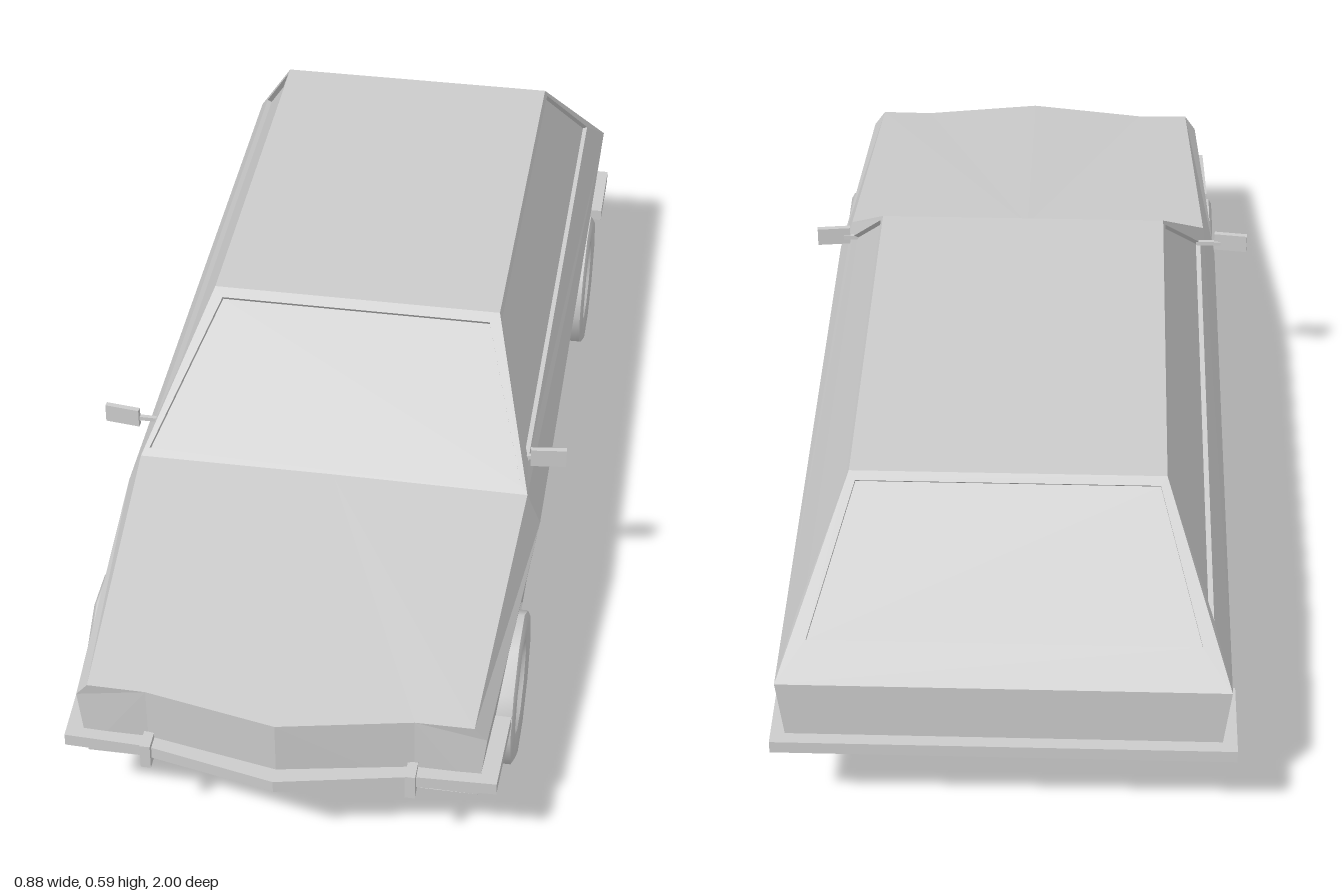
import * as THREE from 'three';
import { toCreasedNormals } from 'three/addons/utils/BufferGeometryUtils.js';

const V = (x, y, z) => new THREE.Vector3(x, y, z);
const flip = (poly) => poly.map((p) => V(-p.x, p.y, p.z));
const both = (polys) => [...polys, ...polys.map(flip)];
const lerp = THREE.MathUtils.lerp;

export function createModel() {
  const model = new THREE.Group();
  model.name = 'car';
  const body = new THREE.Group();
  body.name = 'body';
  body.position.x = 0.012;
  model.add(body);

  const solid = new THREE.MeshStandardMaterial({ color: 0xcccccc });
  const sheet = new THREE.MeshStandardMaterial({ color: 0xcccccc, side: THREE.DoubleSide });

  function add(name, geometry, material = solid, parent = body) {
    const mesh = new THREE.Mesh(geometry, material);
    mesh.name = name;
    parent.add(mesh);
    return mesh;
  }

  // Flat panels from convex polygons, each turned to face away from the car's middle
  function panels(name, polys) {
    const pos = [];
    for (const poly of polys) {
      for (let i = 1; i < poly.length - 1; i++) {
        let [a, b, c] = [poly[0], poly[i], poly[i + 1]];
        const n = b.clone().sub(a).cross(c.clone().sub(a));
        const out = a.clone().add(b).add(c).divideScalar(3).sub(V(0, 0.3, 0));
        if (n.dot(out) < 0) [b, c] = [c, b];
        for (const p of [a, b, c]) pos.push(p.x, p.y, p.z);
      }
    }
    const g = new THREE.BufferGeometry();
    g.setAttribute('position', new THREE.Float32BufferAttribute(pos, 3));
    g.computeVertexNormals();
    return add(name, g, sheet);
  }

  // Frame around an opening, with the pane set back by the inset vector
  function framedWindow(name, outer, inner, inset, mirrored = false) {
    const pane = inner.map((p) => p.clone().add(inset));
    const frame = [];
    outer.forEach((p, i) => {
      const j = (i + 1) % 4;
      frame.push([p, outer[j], inner[j], inner[i]], [inner[i], inner[j], pane[j], pane[i]]);
    });
    panels(name + 'Frame', mirrored ? both(frame) : frame);
    panels(name + 'Glass', mirrored ? both([pane]) : [pane]);
  }

  // Key corners on the +x side
  const roofF = V(0.273, 0.585, 0.086), roofR = V(0.273, 0.585, -0.718);
  const hoodR = V(0.364, 0.385, 0.37), hoodF = V(0.338, 0.322, 0.925);
  const waistF = V(0.36, 0.293, 0.92), waistM = V(0.39, 0.322, 0.37), waistR = V(0.388, 0.327, -0.98);
  const mir = (p) => V(-p.x, p.y, p.z);

  // Half width of the lower side, tucking in toward the sill
  function halfWidth(z, y) {
    const waist = z > 0.37 ? lerp(0.39, 0.36, (z - 0.37) / 0.55) : lerp(0.39, 0.388, (0.37 - z) / 1.35);
    const waistY = z > 0.37 ? lerp(0.322, 0.293, (z - 0.37) / 0.55) : lerp(0.322, 0.327, (0.37 - z) / 1.35);
    return waist - 0.02 * (waistY - y) / 0.19;
  }
  const side = ([z, y]) => V(halfWidth(z, y), y, z);

  // Roof and hood
  panels('roof', [[roofF, roofR, mir(roofR), mir(roofF)]]);
  const noseTop = V(0, 0.318, 0.97), noseBend = V(0.235, 0.321, 0.925);
  panels('hood', both([
    [V(0, 0.387, 0.37), noseTop, noseBend, hoodF, hoodR],
    [hoodF, waistF, waistM, hoodR],
  ]));

  // Windows
  framedWindow('windshield', [mir(roofF), roofF, hoodR, mir(hoodR)],
    [V(-0.256, 0.573, 0.103), V(0.256, 0.573, 0.103), V(0.35, 0.395, 0.356), V(-0.35, 0.395, 0.356)],
    V(0, -0.008, -0.006));
  framedWindow('rearWindow', [mir(roofR), roofR, waistR, mir(waistR)],
    [V(-0.262, 0.573, -0.73), V(0.262, 0.573, -0.73), V(0.337, 0.381, -0.925), V(-0.337, 0.381, -0.925)],
    V(0, -0.007, 0.007));
  framedWindow('sideWindow', [roofF, roofR, waistR, hoodR],
    [V(0.278, 0.573, 0.09), V(0.278, 0.573, -0.718), V(0.356, 0.402, -0.88), V(0.356, 0.402, 0.29)],
    V(-0.009, -0.004, 0), true);
  panels('beltPanel', both([[hoodR, waistM, waistR]]));

  // Lower sides with wheel arches cut into the outline
  const wheelZ = [0.617, -0.68];
  const archShape = [[-0.155, 0.135], [-0.135, 0.22], [-0.085, 0.298], [0.085, 0.298], [0.135, 0.22], [0.155, 0.135]];
  const arches = wheelZ.map((wz) => archShape.map(([z, y]) => [wz + z, y]));
  const outline = [
    [0.92, 0.293], [0.37, 0.322], [-0.98, 0.327], [-0.976, 0.18], [-0.944, 0.15], [-0.835, 0.14],
    ...arches[1], ...arches[0], [0.772, 0.155], [0.92, 0.16],
  ];
  const faces = THREE.ShapeUtils.triangulateShape(outline.map(([z, y]) => new THREE.Vector2(z, y)), []);
  panels('lowerSide', both(faces.map((f) => f.map((i) => side(outline[i])))));

  // Arch liners
  const liners = [];
  for (const arch of arches) {
    for (let i = 0; i < arch.length - 1; i++) {
      const a = side(arch[i]), b = side(arch[i + 1]);
      liners.push([a, b, V(0.26, b.y, b.z), V(0.26, a.y, a.z)]);
    }
  }
  panels('wheelArch', both(liners));

  // Floor pan, rising at both ends
  const keel = [[0.92, 0.16], [0.772, 0.155], [0.462, 0.132], [-0.525, 0.132], [-0.835, 0.14], [-0.944, 0.15], [-0.976, 0.18]].map(side);
  const floor = keel.slice(1).map((p, i) => [keel[i], p, mir(p), mir(keel[i])]);
  const noseLow = V(0, 0.168, 0.965), bendLow = V(0.235, 0.162, 0.92);
  floor.push([noseLow, bendLow, mir(bendLow)]);
  panels('floor', floor);

  // Nose with a shallow central point, and tail panel
  panels('nose', both([
    [noseTop, noseBend, bendLow, noseLow],
    [noseBend, hoodF, waistF, keel[0], bendLow],
  ]));
  panels('tail', [[waistR, mir(waistR), mir(keel[6]), keel[6]]]);

  // Bumpers: slabs wrapping around each end
  function bumper(name, half) {
    const pts = [...half, ...half.slice().reverse().map(([x, z]) => [-x, z])];
    const shape = new THREE.Shape(pts.map(([x, z]) => new THREE.Vector2(x, -z)));
    const g = new THREE.ExtrudeGeometry(shape, { depth: 0.024, bevelEnabled: false });
    g.rotateX(-Math.PI / 2).translate(0, 0.188, 0);
    add(name, g);
  }
  bumper('frontBumper', [[0, 0.997], [0.235, 0.947], [0.381, 0.942], [0.387, 0.775], [0, 0.775]]);
  bumper('rearBumper', [[0, -1], [0.401, -1], [0.401, -0.84], [0, -0.84]]);
  for (const s of [-1, 1]) {
    add('overrider', new THREE.BoxGeometry(0.018, 0.05, 0.045)).position.set(s * 0.233, 0.198, 0.937);
  }

  // Wheels: ten-sided tyre with a dished hub
  const profile = [[0, 0.283], [0.143, 0.283], [0.143, 0.386], [0.132, 0.392], [0.088, 0.388], [0.078, 0.376], [0.045, 0.368], [0.038, 0.376], [0, 0.378]];
  const wheelGeo = toCreasedNormals(
    new THREE.LatheGeometry(profile.map(([r, h]) => new THREE.Vector2(r, h)), 10, Math.PI / 10), 0.7);
  wheelGeo.rotateZ(-Math.PI / 2);
  // turn so that a flat side rests on the ground
  wheelGeo.computeBoundingBox();
  if (wheelGeo.boundingBox.min.y < -0.14) wheelGeo.rotateX(Math.PI / 10);
  for (const z of wheelZ) {
    for (const s of [-1, 1]) {
      const wheel = add(z > 0 ? 'frontWheel' : 'rearWheel', wheelGeo);
      wheel.position.set(0, 0.136, z);
      if (s < 0) wheel.rotation.y = Math.PI;
    }
  }

  // Door mirrors on short arms
  for (const s of [-1, 1]) {
    const mirror = new THREE.Group();
    mirror.name = s > 0 ? 'leftMirror' : 'rightMirror';
    mirror.position.set(s * 0.405, 0.409, 0.283);
    model.add(mirror);
    const head = add('mirrorHead', new THREE.BoxGeometry(0.066, 0.037, 0.01), solid, mirror);
    head.rotation.y = s * 0.12;
    const arm = add('mirrorArm', new THREE.BoxGeometry(0.05, 0.008, 0.008), solid, mirror);
    arm.position.set(s * -0.045, -0.003, 0);
  }
  return model;
}
